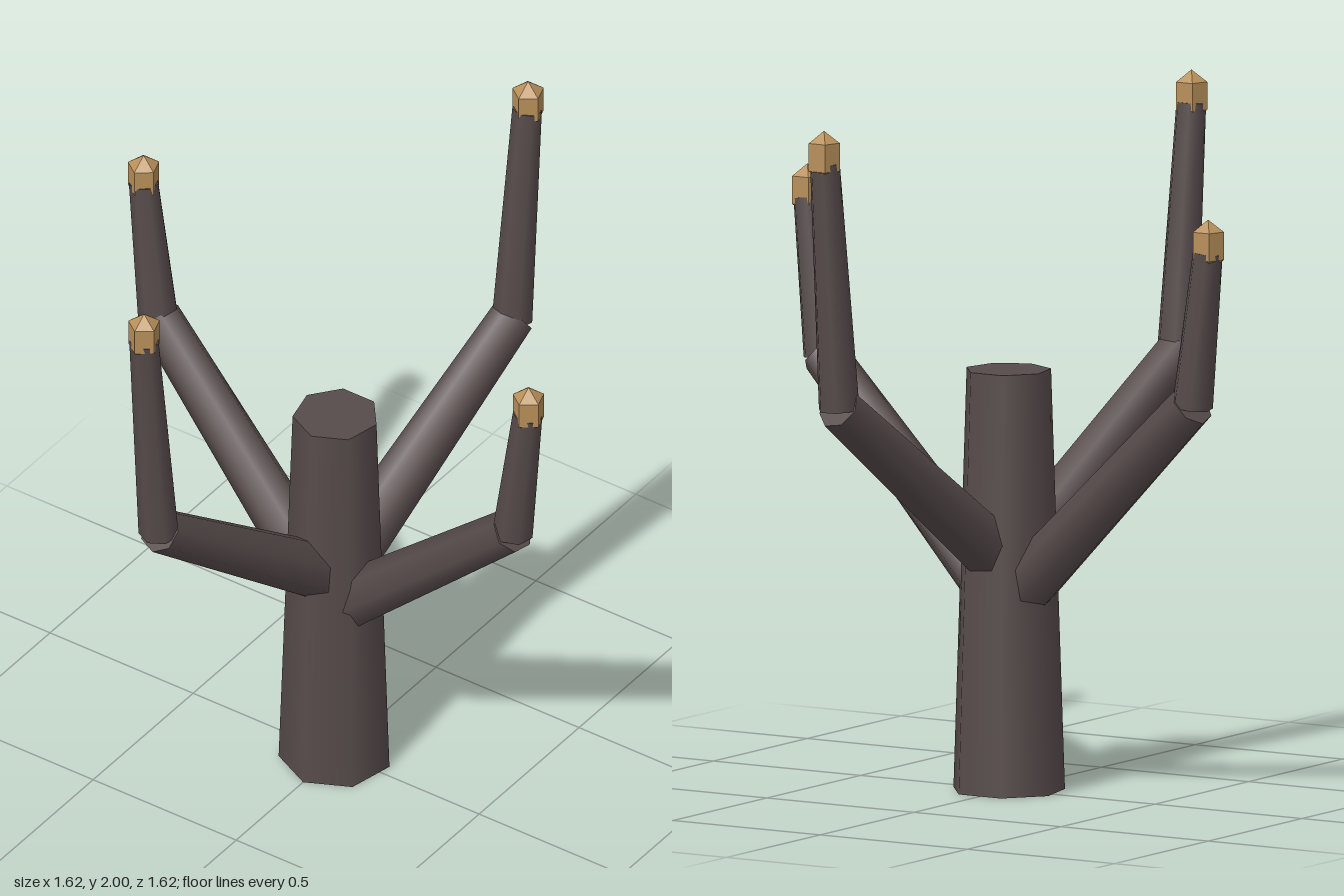
import * as THREE from 'three';

const bark = new THREE.MeshStandardMaterial({ color: 0x574b4b });
bark.name = 'dark bark';
const gold = new THREE.MeshStandardMaterial({ color: 0xb8905a, flatShading: true });
gold.name = 'golden bud';

// Tapered, closed limb running between two points
function limb(name, from, to, r0, r1, sides = 7) {
  const axis = new THREE.Vector3().subVectors(to, from);
  const mesh = new THREE.Mesh(new THREE.CylinderGeometry(r1, r0, axis.length(), sides), bark);
  mesh.position.addVectors(from, to).multiplyScalar(0.5);
  mesh.quaternion.setFromUnitVectors(new THREE.Vector3(0, 1, 0), axis.normalize());
  mesh.name = name;
  return mesh;
}

// Five-sided bud: pointed cap, straight sides, pointed underside
function bud(tip) {
  const profile = [[0, -0.15], [0.047, -0.115], [0.047, -0.034], [0, 0]];
  const points = profile.map(([r, y]) => new THREE.Vector2(r, y));
  const mesh = new THREE.Mesh(new THREE.LatheGeometry(points, 5), gold);
  mesh.position.copy(tip);
  mesh.name = 'bud';
  return mesh;
}

export function createModel() {
  const model = new THREE.Group();
  model.name = 'bareTree';
  model.add(limb('trunk', new THREE.Vector3(0, 0, 0), new THREE.Vector3(0, 1.22, 0), 0.165, 0.125));

  // Four bent branches a quarter turn apart, alternating low and high
  for (let i = 0; i < 4; i++) {
    const high = i % 2 === 1;
    const angle = THREE.MathUtils.degToRad(10) + i * Math.PI / 2;
    const at = (r, y) => new THREE.Vector3(Math.cos(angle) * r, y, Math.sin(angle) * r);
    const top = high ? 2.0 : 1.735;
    const branch = new THREE.Group();
    branch.name = high ? 'highBranch' : 'lowBranch';
    branch.add(
      limb('lowerBranch', at(0.07, high ? 0.7 : 0.595), at(0.717, 1.19), 0.085, 0.066),
      limb('upperBranch', at(0.717, 1.185), at(0.777, top - 0.095), 0.06, 0.044),
      bud(at(0.779, top))
    );
    model.add(branch);
  }
  return model;
}
